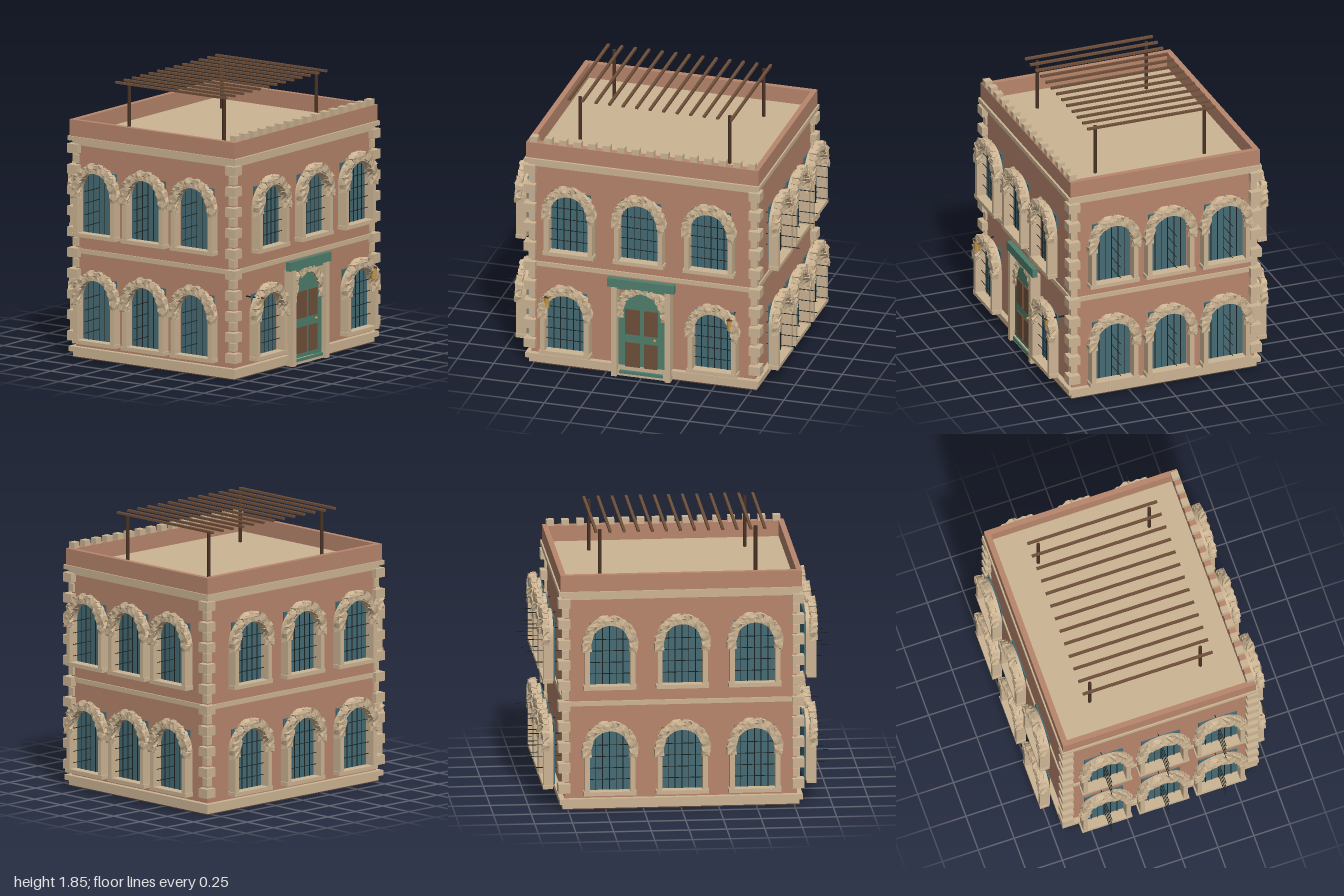
import * as THREE from 'three';
import { mergeGeometries } from 'three/addons/utils/BufferGeometryUtils.js';

const mat = (color, flatShading = false) => new THREE.MeshStandardMaterial({ color, flatShading });
const BRICK = mat(0xb8866c), STONE = mat(0xcdb594), ROUGH = mat(0xcbb392, true), GLASS = mat(0x466b74);
const WOOD = mat(0x4a3325), GREEN = mat(0x4f7f6c), PANEL = mat(0x70503a), IRON = mat(0x1c2424);
const GOLD = mat(0xcb9a48), EARTH = mat(0x5a4236);

function add(parent, name, geometry, material, x = 0, y = 0, z = 0) {
  const mesh = new THREE.Mesh(geometry, material);
  mesh.name = name;
  mesh.position.set(x, y, z);
  parent.add(mesh);
  return mesh;
}

// box given by its limits on each axis
function block(parent, name, material, x0, x1, y0, y1, z0, z1) {
  return add(parent, name, new THREE.BoxGeometry(x1 - x0, y1 - y0, z1 - z0), material,
    (x0 + x1) / 2, (y0 + y1) / 2, (z0 + z1) / 2);
}

// repeatable noise in -0.5..0.5 from a position
function noise(x, y, z, seed) {
  const s = Math.sin(x * 127.1 + y * 311.7 + z * 74.7 + seed * 53.3) * 43758.5453;
  return s - Math.floor(s) - 0.5;
}

// craggy stones laid along an elliptical arc centred on the origin
function roughArchGeometry() {
  const stones = [], count = 15, v = new THREE.Vector3();
  for (let i = 0; i < count; i++) {
    const a = -0.08 + (Math.PI + 0.16) * (i / (count - 1));
    const g = new THREE.BoxGeometry(0.052, 0.05, 0.046, 2, 2, 2);
    const p = g.attributes.position;
    for (let k = 0; k < p.count; k++) {
      v.fromBufferAttribute(p, k);
      const { x, y, z } = v;
      v.x += noise(x, y, z, i) * 0.016;
      v.y += noise(y, z, x, i + 20) * 0.016;
      v.z += noise(z, x, y, i + 40) * 0.016;
      p.setXYZ(k, v.x, v.y, v.z);
    }
    g.rotateZ(a);
    g.translate(Math.cos(a) * 0.157, Math.sin(a) * 0.175, 0.05);
    stones.push(g);
  }
  return mergeGeometries(stones);
}

// closed outline: straight sides rising into a half ellipse
function archOutline(Kind, half, bottom, spring, rise) {
  const s = new Kind();
  s.moveTo(-half, bottom);
  s.lineTo(half, bottom);
  s.lineTo(half, spring);
  s.absellipse(0, spring, half, rise, 0, Math.PI, false);
  s.lineTo(-half, bottom);
  return s;
}

const SPRING = 1.14;
const roughArch = roughArchGeometry();
const frameShape = archOutline(THREE.Shape, 0.166, 0.855, SPRING, 0.165);
frameShape.holes.push(archOutline(THREE.Path, 0.134, 0.865, SPRING, 0.14));
const frameGeometry = new THREE.ExtrudeGeometry(frameShape, { depth: 0.068, bevelEnabled: false, curveSegments: 16 });

// one window, built facing +z; crossbars always run along the world x axis
function makeWindow(x, y, z, turn) {
  const w = new THREE.Group();
  w.name = 'window';
  w.position.set(x, y, z);
  w.rotation.y = turn;
  add(w, 'windowFrame', frameGeometry, STONE);
  add(w, 'roughArch', roughArch, ROUGH, 0, SPRING, 0);
  block(w, 'sill', STONE, -0.175, 0.175, 0.842, 0.868, 0.004, 0.07);
  block(w, 'glass', GLASS, -0.134, 0.134, 0.865, 1.28, -0.012, -0.002);
  for (let i = -2; i <= 2; i++) {
    const bar = new THREE.CylinderGeometry(0.003, 0.003, 0.4, 6);
    add(w, 'verticalBar', bar, IRON, i * 0.045, 1.068, 0.004);
  }
  for (const by of [0.945, 1.022, 1.1, 1.178]) {
    const bar = add(w, 'crossBar', new THREE.CylinderGeometry(0.0025, 0.0025, 0.28, 6), IRON, 0, by, 0.025);
    bar.rotation.set(0, -turn, Math.PI / 2);
  }
  return w;
}

export function createModel() {
  const model = new THREE.Group();
  model.name = 'townhouse';
  const tier = (name, m, x, z, y0, y1) => block(model, name, m, -x, x, y0, y1, -z, z);

  // body, plinth and stone bands
  tier('groundSlab', EARTH, 0.785, 0.66, 0, 0.006);
  tier('lowerPlinth', STONE, 0.785, 0.657, 0.006, 0.04);
  tier('upperPlinth', STONE, 0.805, 0.68, 0.04, 0.075);
  tier('brickWalls', BRICK, 0.77, 0.645, 0.075, 1.43);
  tier('floorBand', STONE, 0.78, 0.655, 0.703, 0.735);
  tier('lowerCornice', STONE, 0.785, 0.662, 1.43, 1.46);
  tier('upperCornice', STONE, 0.81, 0.685, 1.46, 1.49);

  // parapet round the flat roof
  block(model, 'frontParapet', BRICK, -0.8, 0.8, 1.485, 1.6, 0.625, 0.67);
  block(model, 'backParapet', BRICK, -0.8, 0.8, 1.485, 1.6, -0.675, -0.637);
  for (const s of [-1, 1]) {
    const side = block(model, 'sideParapet', BRICK, -0.018, 0.018, 1.485, 1.6, -0.637, 0.625);
    side.position.x = s * 0.782;
  }
  for (let i = 0; i < 16; i++) {
    const x = -0.75 + i * 0.1;
    block(model, 'battlement', STONE, x - 0.025, x + 0.025, 1.6, 1.64, 0.617, 0.667);
  }

  // alternating corner stones
  for (const sx of [-1, 1]) for (const sz of [-1, 1]) for (let i = 0; i < 19; i++) {
    const wide = i % 2 === 0, size = wide ? 0.08 : 0.045;
    const g = new THREE.BoxGeometry(size, wide ? 0.062 : 0.056, size);
    add(model, 'cornerStone', g, STONE, sx * (wide ? 0.775 : 0.765), 0.148 + i * 0.07, sz * (wide ? 0.645 : 0.637));
  }

  // windows: lower storey drops by the storey height
  const DROP = -0.72;
  for (const dy of [0, DROP]) {
    for (const c of [-1, 0, 1]) {
      if (dy === 0 || c !== 0) model.add(makeWindow(c * (dy ? 0.508 : 0.483), dy, 0.702, 0));
      model.add(makeWindow(c * 0.48, dy, -0.715, Math.PI));
      for (const s of [-1, 1]) model.add(makeWindow(s * 0.836, dy, c * 0.398 - 0.005, s * Math.PI / 2));
    }
  }

  // entrance
  const door = new THREE.Group();
  door.name = 'entrance';
  model.add(door);
  const leaf = new THREE.ExtrudeGeometry(archOutline(THREE.Shape, 0.16, 0.04, 0.5, 0.13),
    { depth: 0.04, bevelEnabled: false, curveSegments: 16 });
  add(door, 'door', leaf, GREEN, 0, 0, 0.64);
  add(door, 'doorArch', roughArch, ROUGH, 0, 0.455, 0.618);
  for (const [x0, x1] of [[-0.115, -0.012], [0.018, 0.108]])
    for (const [y0, y1] of [[0.07, 0.245], [0.305, 0.485]])
      block(door, 'doorPanel', PANEL, x0, x1, y0, y1, 0.67, 0.688);
  add(door, 'doorKnob', new THREE.SphereGeometry(0.01, 12, 8), GOLD, 0.09, 0.28, 0.69);
  block(door, 'doorStep', STONE, -0.165, 0.165, 0, 0.04, 0.64, 0.69);
  block(door, 'threshold', GREEN, -0.15, 0.15, 0.02, 0.04, 0.66, 0.7);
  for (const s of [-1, 1]) {
    const post = block(door, 'doorPost', STONE, -0.019, 0.019, 0, 0.645, 0.645, 0.714);
    post.position.x = s * 0.185;
  }
  block(door, 'doorLintel', GREEN, -0.165, 0.165, 0.625, 0.65, 0.645, 0.69);
  block(door, 'signBoard', GREEN, -0.23, 0.23, 0.645, 0.705, 0.675, 0.712);

  // wall lanterns
  for (const s of [-1, 1]) {
    add(model, 'lantern', new THREE.CylinderGeometry(0.021, 0.017, 0.075, 8), GOLD, s * 0.63, 0.5, 0.765);
    add(model, 'lanternCap', new THREE.ConeGeometry(0.026, 0.018, 8), WOOD, s * 0.63, 0.547, 0.765);
    block(model, 'lanternArm', IRON, s * 0.63 - 0.004, s * 0.63 + 0.004, 0.535, 0.543, 0.645, 0.765);
  }

  // roof deck and pergola
  block(model, 'roofDeck', STONE, -0.764, 0.764, 1.485, 1.493, -0.637, 0.625);
  for (const x of [-0.517, 0.515]) for (const z of [-0.393, 0.38])
    add(model, 'pergolaPost', new THREE.CylinderGeometry(0.012, 0.012, 0.35, 12), WOOD, x, 1.663, z);
  for (let i = 0; i < 13; i++) {
    const x = -0.575 + i * 0.0932;
    block(model, 'pergolaSlat', PANEL, x - 0.009, x + 0.009, 1.83, 1.845, -0.46, 0.445);
  }
  return model;
}
